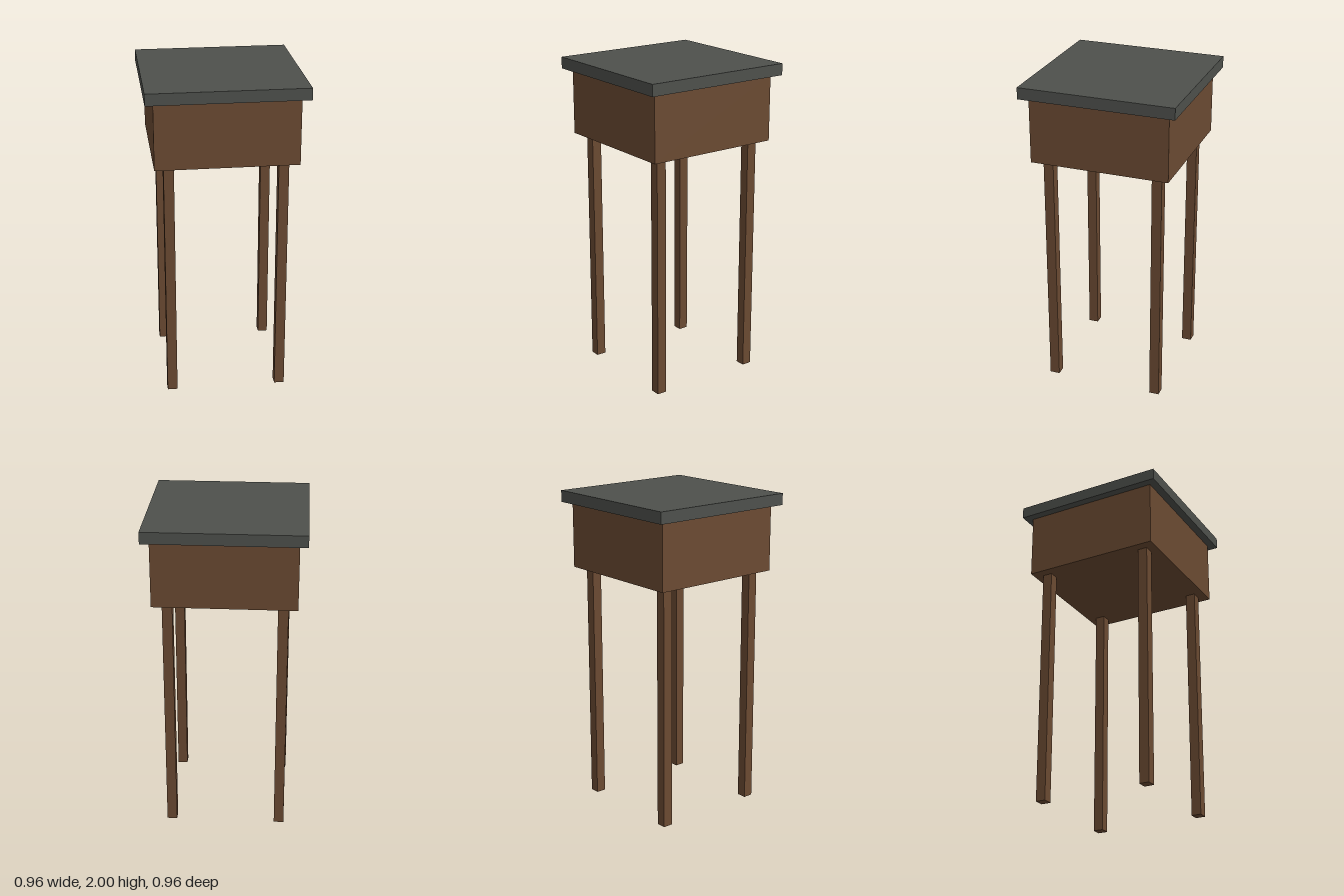
import * as THREE from 'three';

export function createModel() {
  const model = new THREE.Group();
  const wood = new THREE.MeshStandardMaterial({ color: 0x6b4a32 });
  const slate = new THREE.MeshStandardMaterial({ color: 0x4e504c });

  // Box of square plan standing on y = bottom
  const addBlock = (name, width, bottom, top, material, x = 0, z = 0) => {
    const mesh = new THREE.Mesh(new THREE.BoxGeometry(width, top - bottom, width), material);
    mesh.name = name;
    mesh.position.set(x, (bottom + top) / 2, z);
    model.add(mesh);
  };

  // Overhanging top slab and the deep box beneath it
  addBlock('topSlab', 0.962, 1.928, 2, slate);
  addBlock('body', 0.864, 1.518, 1.928, wood);

  // Four square legs, inset from the body corners
  const inset = 0.344;
  for (const [end, z] of [['front', inset], ['back', -inset]]) {
    for (const [side, x] of [['Left', inset], ['Right', -inset]]) {
      addBlock(`${end}${side}Leg`, 0.062, 0, 1.518, wood, x, z);
    }
  }
  return model;
}
